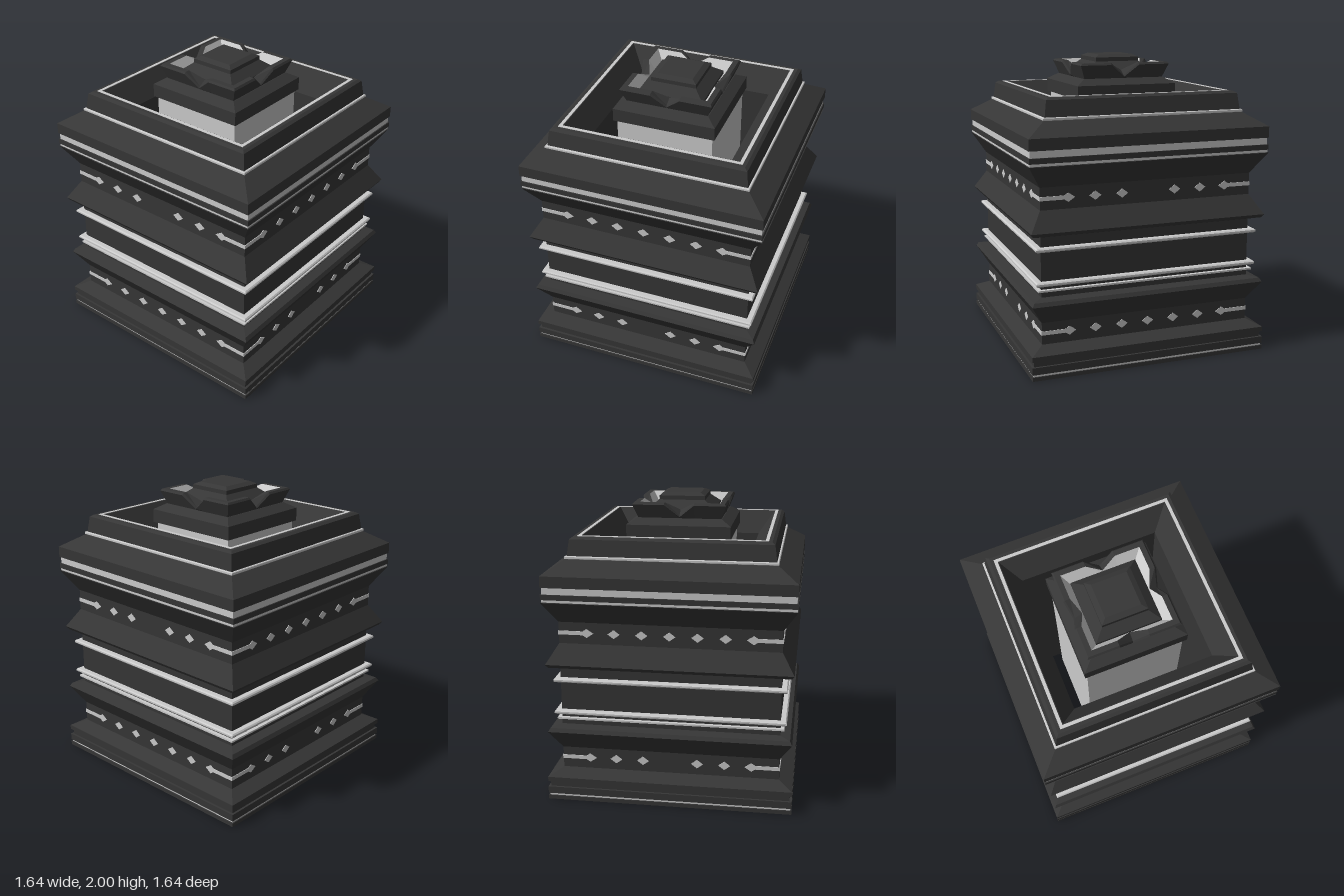
import * as THREE from 'three';

const dark = new THREE.MeshStandardMaterial({ color: 0x363636, flatShading: true });
const light = new THREE.MeshStandardMaterial({ color: 0xcccccc, flatShading: true });

// Square solid swept from a profile of [half width, height]
function squareLoft(name, profile, material) {
  const points = profile.map(([half, y]) => new THREE.Vector2(half * Math.SQRT2, y));
  const mesh = new THREE.Mesh(new THREE.LatheGeometry(points, 4, Math.PI / 4), material);
  mesh.name = name;
  return mesh;
}

// Square ring with slightly chamfered outer edges
function band(name, half, y0, y1, chamfer = 0) {
  const inner = half - 0.06;
  return squareLoft(name, [
    [inner, y0], [half - chamfer, y0], [half, y0 + chamfer],
    [half, y1 - chamfer], [half - chamfer, y1], [inner, y1],
  ], light);
}

// Loft of square rings whose side middles dip in a V: [half, y, mid half, mid y]
function notchedLoft(name, rings, notch, material) {
  const pos = [], index = [], count = 16;
  for (const [h, y, mh, my] of rings) {
    for (let side = 0; side < 4; side++) {
      for (const [px, py, pz] of [[-h, y, h], [-notch, y, h], [0, my, mh], [notch, y, h]]) {
        let x = px, z = pz;
        for (let k = 0; k < side; k++) [x, z] = [z, -x];
        pos.push(x, py, z);
      }
    }
  }
  for (let r = 0; r < rings.length - 1; r++) {
    for (let i = 0; i < count; i++) {
      const a = r * count + i, b = r * count + (i + 1) % count;
      index.push(a, b, a + count, b, b + count, a + count);
    }
  }
  const geometry = new THREE.BufferGeometry();
  geometry.setAttribute('position', new THREE.Float32BufferAttribute(pos, 3));
  geometry.setIndex(index);
  geometry.computeVertexNormals();
  const mesh = new THREE.Mesh(geometry, material);
  mesh.name = name;
  return mesh;
}

// Row of diamonds with arrow-shaped end bars, on the +z face
function ornamentRow(name, y, withCentre) {
  const row = new THREE.Group();
  row.name = name;
  const w = 0.04, h = 0.03, t = 0.013, edge = 0.734;
  const diamond = new THREE.Shape([[-w, 0], [0, -h], [w, 0], [0, h]].map(p => new THREE.Vector2(...p)));
  const arrow = new THREE.Shape([
    [0.5, 0], [0.545, -h], [0.57, -t], [edge, -t], [edge, t], [0.57, t], [0.545, h],
  ].map(p => new THREE.Vector2(...p)));
  const add = (shape, x, turn, label) => {
    const geometry = new THREE.ExtrudeGeometry(shape, { depth: 0.008, bevelEnabled: false });
    const mesh = new THREE.Mesh(geometry, light);
    mesh.name = label;
    mesh.position.set(x, y, 0.726);
    mesh.rotation.z = turn;
    row.add(mesh);
  };
  for (const x of [-0.365, -0.183, 0, 0.183, 0.365]) {
    if (x !== 0 || withCentre) add(diamond, x, 0, 'diamond');
  }
  add(arrow, 0, 0, 'endBar');
  add(arrow, 0, Math.PI, 'endBar');
  return row;
}

export function createModel() {
  const model = new THREE.Group();
  model.name = 'squareLantern';

  // Body: underside recess, outer mouldings, rim, then the inner shaft
  model.add(squareLoft('body', [
    [0, 0.27], [0.48, 0.27], [0.48, 0],
    [0.82, 0], [0.82, 0.027], [0.8, 0.027], [0.8, 0.042], [0.82, 0.042], [0.82, 0.09],
    [0.805, 0.09], [0.805, 0.128], [0.82, 0.128], [0.82, 0.16], [0.73, 0.205],
    [0.73, 0.35], [0.81, 0.483], [0.795, 0.508], [0.73, 0.52],
    [0.73, 0.913], [0.795, 0.932], [0.81, 0.955], [0.73, 1.085],
    [0.73, 1.23], [0.82, 1.375], [0.8, 1.378], [0.8, 1.395], [0.82, 1.395], [0.82, 1.43],
    [0.8, 1.43], [0.8, 1.475], [0.82, 1.475], [0.82, 1.55], [0.68, 1.64],
    [0.675, 1.655], [0.66, 1.762], [0.64, 1.775], [0.59, 1.775],
    [0.48, 1.62], [0.48, 0.27],
  ], dark));

  // Light inlays and raised bands
  model.add(
    band('baseInlay', 0.812, 0.027, 0.042),
    band('thinBand', 0.755, 0.56, 0.572),
    band('lowerBand', 0.77, 0.598, 0.625, 0.008),
    band('upperBand', 0.77, 0.822, 0.849, 0.008),
    band('lowerCorniceInlay', 0.815, 1.378, 1.395),
    band('upperCorniceInlay', 0.812, 1.43, 1.475),
    band('roofBand', 0.688, 1.636, 1.656, 0.004),
  );
  model.add(squareLoft('rimInlay', [[0.617, 1.77], [0.617, 1.778], [0.595, 1.778], [0.595, 1.77]], light));

  // Diamond rows on all four faces; the centre is left out on alternate faces
  for (let side = 0; side < 4; side++) {
    const face = new THREE.Group();
    face.name = 'faceOrnament';
    const frontOrBack = side % 2 === 0;
    face.add(ornamentRow('lowerOrnament', 0.28, frontOrBack), ornamentRow('upperOrnament', 1.158, !frontOrBack));
    face.rotation.y = side * Math.PI / 2;
    model.add(face);
  }

  // Finial: post, base slab, notched crown and cap
  model.add(squareLoft('finialPost', [[0.33, 0.28], [0.33, 1.73]], light));
  model.add(squareLoft('finialBase', [
    [0, 1.72], [0.35, 1.72], [0.35, 1.81], [0.285, 1.85], [0, 1.85],
  ], dark));
  model.add(notchedLoft('crown', [
    [0.28, 1.85, 0.28, 1.85], [0.315, 1.94, 0.288, 1.858],
    [0.305, 1.953, 0.28, 1.868], [0.27, 1.953, 0.228, 1.9],
  ], 0.1, dark));
  model.add(notchedLoft('crownLining', [
    [0.27, 1.953, 0.228, 1.9], [0.222, 1.88, 0.222, 1.88],
  ], 0.1, light));
  model.add(squareLoft('cap', [
    [0.222, 1.85], [0.222, 1.9], [0.155, 1.955], [0.155, 1.982], [0.12, 2], [0, 2],
  ], dark));

  return model;
}
